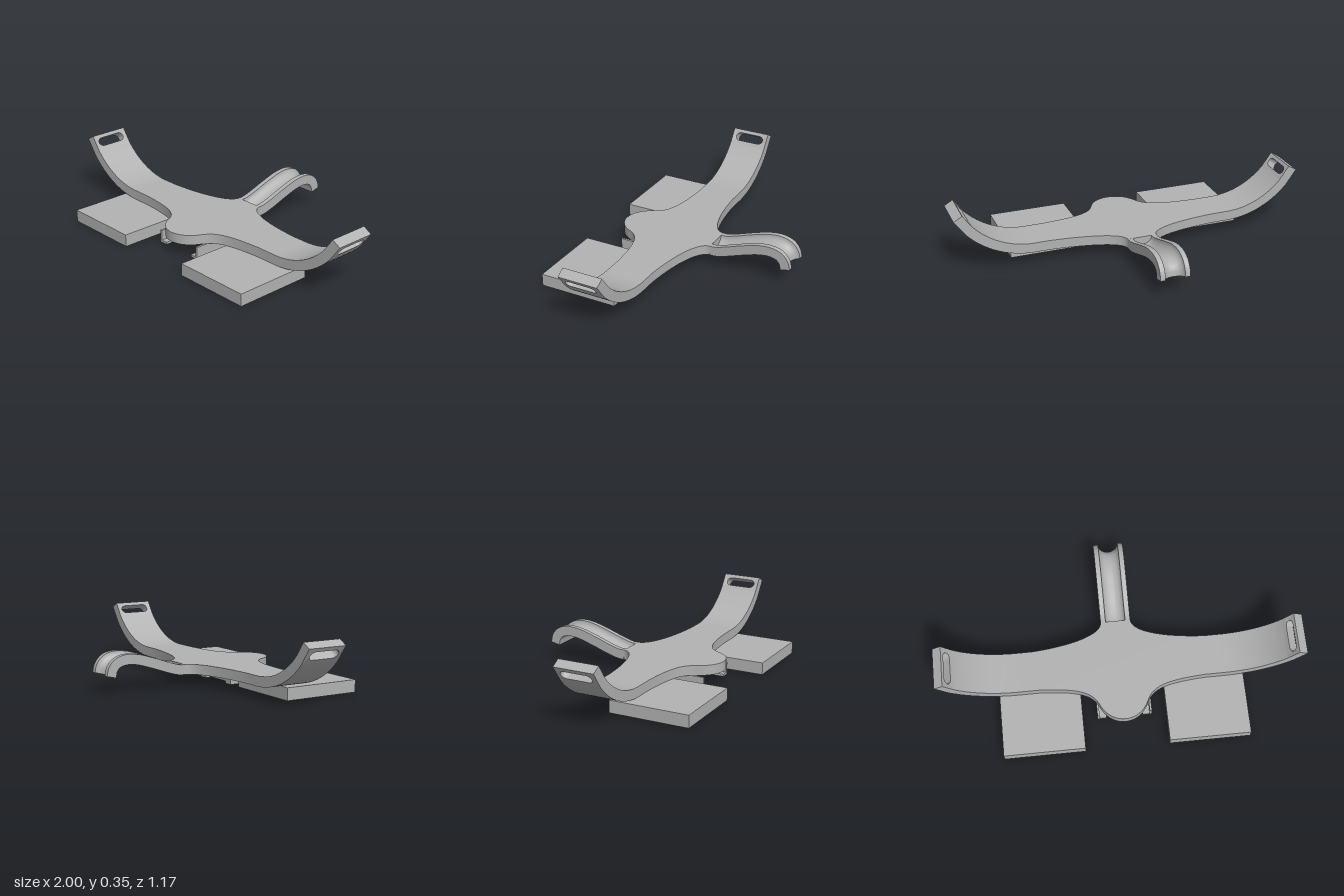
import * as THREE from 'three';
import { toCreasedNormals } from 'three/addons/utils/BufferGeometryUtils.js';

const BOTTOM = 0.07, THICK = 0.055;          // main plate
const BACK = 0.025, FRONT = 0.25;            // arm edges in z
const BEND_X = 0.567, BEND_R = 0.5;          // where the arms start to curl up
const ARC = BEND_R * Math.PI / 3;

const grey = new THREE.MeshStandardMaterial({ color: 0xb2b2b2 });
grey.name = 'grey';

function add(parent, name, geometry) {
  const mesh = new THREE.Mesh(geometry, grey);
  mesh.name = name;
  parent.add(mesh);
  return mesh;
}

function block(parent, name, x0, x1, y0, y1, z0, z1) {
  const mesh = add(parent, name, new THREE.BoxGeometry(x1 - x0, y1 - y0, z1 - z0));
  mesh.position.set((x0 + x1) / 2, (y0 + y1) / 2, (z0 + z1) / 2);
}

// Moves every vertex by a rule, then rebuilds the normals with sharp edges kept
function warp(geometry, rule) {
  const p = geometry.attributes.position;
  const v = new THREE.Vector3();
  for (let i = 0; i < p.count; i++) {
    v.fromBufferAttribute(p, i);
    rule(v);
    p.setXYZ(i, v.x, v.y, v.z);
  }
  return toCreasedNormals(geometry, Math.PI / 5);
}

// Flat strip (length, width, thickness) curled upward along an arc
function curl(v) {
  const a = v.x / BEND_R, r = BEND_R - v.z;
  v.set(BEND_X + r * Math.sin(a), BOTTOM + BEND_R - r * Math.cos(a), FRONT - v.y);
}

// Central plate with its flared back and rounded front lobe (shape y = -z)
function plateGeometry() {
  const s = new THREE.Shape();
  s.moveTo(-BEND_X, -FRONT);
  s.lineTo(-0.46, -FRONT);
  s.bezierCurveTo(-0.24, -0.262, -0.17, -0.29, -0.135, -0.36);
  s.bezierCurveTo(-0.11, -0.42, -0.06, -0.458, 0, -0.458);
  s.bezierCurveTo(0.06, -0.458, 0.11, -0.42, 0.135, -0.36);
  s.bezierCurveTo(0.17, -0.29, 0.24, -0.262, 0.46, -FRONT);
  s.lineTo(BEND_X, -FRONT);
  s.lineTo(BEND_X, -BACK);
  s.lineTo(0.48, -BACK);
  s.bezierCurveTo(0.27, -0.012, 0.083, 0.035, 0.083, 0.11);
  s.lineTo(-0.083, 0.11);
  s.bezierCurveTo(-0.083, 0.035, -0.27, -0.012, -0.48, -BACK);
  s.lineTo(-BEND_X, -BACK);
  const g = new THREE.ExtrudeGeometry(s, { depth: THICK, bevelEnabled: false, curveSegments: 20 });
  g.rotateX(-Math.PI / 2).translate(0, BOTTOM, 0);
  return toCreasedNormals(g, Math.PI / 5);
}

// Curled arm ending in a slotted tip
function arm() {
  const group = new THREE.Group();
  const width = FRONT - BACK, tipStart = 0.42;
  const strip = new THREE.BoxGeometry(tipStart, width, THICK, 24, 1, 1);
  strip.translate(tipStart / 2, width / 2, THICK / 2);
  add(group, 'armCurve', warp(strip, curl));

  const tip = new THREE.Shape();
  tip.moveTo(tipStart, 0);
  tip.lineTo(ARC, 0);
  tip.lineTo(ARC, width);
  tip.lineTo(tipStart, width);
  const slot = new THREE.Path();
  const mid = 0.4725, r = 0.0275, end = 0.025 + r;
  slot.absarc(mid, end, r, Math.PI, 2 * Math.PI, false);
  slot.absarc(mid, width - end, r, 0, Math.PI, false);
  tip.holes.push(slot);
  const g = new THREE.ExtrudeGeometry(tip, { depth: THICK, bevelEnabled: false, curveSegments: 12 });
  add(group, 'armSlottedTip', warp(g, curl));
  return group;
}

// Hooked tail with a rounded groove along its top
function tailGeometry() {
  const h = THICK / 2, w = 0.083, grooveW = 0.055, depth = 0.045;
  const s = new THREE.Shape();
  s.moveTo(-w, -h);
  s.lineTo(w, -h);
  s.lineTo(w, h);
  s.lineTo(grooveW, h);
  s.absellipse(0, h, grooveW, depth, 0, Math.PI, true, 0);
  s.lineTo(-w, h);
  const path = new THREE.CatmullRomCurve3([
    [-0.11, 0.0975], [-0.14, 0.0985], [-0.2, 0.114], [-0.3, 0.148], [-0.4, 0.177],
    [-0.47, 0.1825], [-0.52, 0.168], [-0.548, 0.136], [-0.557, 0.0975],
  ].map(([z, y]) => new THREE.Vector3(0, y, z)));
  const g = new THREE.ExtrudeGeometry(s, { depth: 1, steps: 40, bevelEnabled: false, curveSegments: 20 });
  return warp(g, (v) => {
    const u = THREE.MathUtils.clamp(1 - v.z, 0, 1);
    const p = path.getPointAt(u), t = path.getTangentAt(u);
    v.set(v.x, p.y - t.z * v.y, p.z + t.y * v.y);
  });
}

export function createModel() {
  const model = new THREE.Group();
  model.name = 'curvedBracket';

  add(model, 'centralPlate', plateGeometry());
  add(model, 'groovedTail', tailGeometry());

  const leftArm = arm();
  leftArm.name = 'leftArm';
  const rightArm = arm();
  rightArm.name = 'rightArm';
  rightArm.rotation.y = Math.PI;
  rightArm.position.z = BACK + FRONT;
  model.add(leftArm, rightArm);

  // Square pads and the L-shaped rails of the holder under the plate
  for (const [side, k] of [['left', 1], ['right', -1]]) {
    const mirrored = (name, a, b, ...rest) =>
      block(model, side + name, Math.min(k * a, k * b), Math.max(k * a, k * b), ...rest);
    mirrored('Pad', 0.23, 0.675, 0, 0.068, 0.14, 0.585);
    mirrored('RailWall', 0.138, 0.15, 0, BOTTOM, 0.14, 0.41);
    mirrored('RailFoot', 0.1, 0.138, 0, 0.013, 0.14, 0.41);
  }
  block(model, 'holderBackWall', -0.138, 0.138, 0.013, BOTTOM, 0.14, 0.152);

  return model;
}
